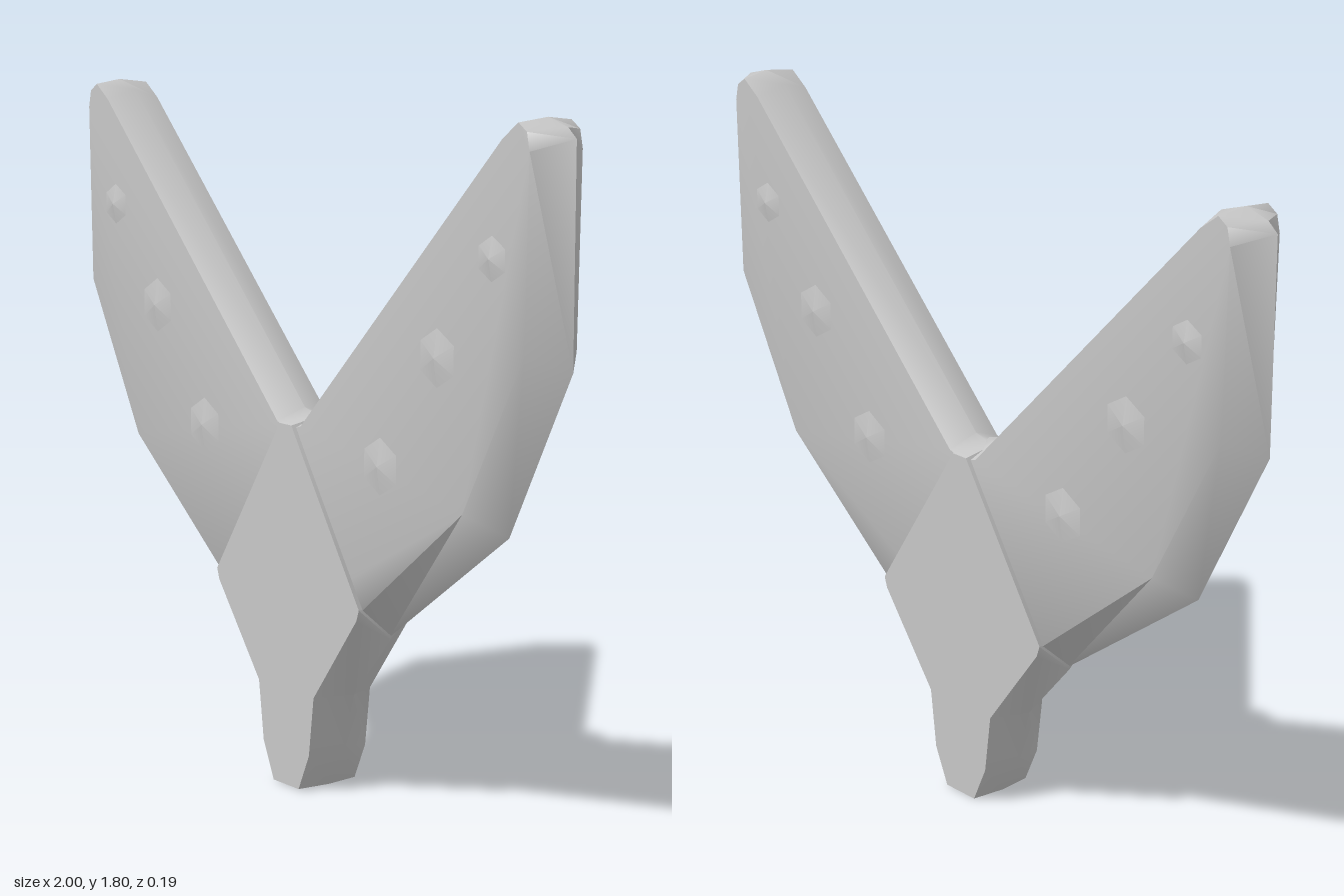
import * as THREE from 'three';
import { toCreasedNormals } from 'three/addons/utils/BufferGeometryUtils.js';

// Plate with a flat front and back, chamfered to a ridge at z = 0.
// Each entry is [rimX, rimY, faceX, faceY], anticlockwise seen from +z.
function chamferedPlate(points, half) {
  const n = points.length;
  const pos = [];
  for (const p of points) pos.push(p[2], p[3], half);
  for (const p of points) pos.push(p[0], p[1], 0);
  for (const p of points) pos.push(p[2], p[3], -half);
  const index = [];
  const contour = points.map(p => new THREE.Vector2(p[2], p[3]));
  for (const [a, b, c] of THREE.ShapeUtils.triangulateShape(contour, [])) {
    index.push(a, b, c, c + 2 * n, b + 2 * n, a + 2 * n);
  }
  for (let ring = 0; ring < 2; ring++) {
    for (let i = 0; i < n; i++) {
      const j = (i + 1) % n;
      const a = ring * n + i, b = ring * n + j;
      index.push(a, a + n, b, b, a + n, b + n);
    }
  }
  const g = new THREE.BufferGeometry();
  g.setAttribute('position', new THREE.Float32BufferAttribute(pos, 3));
  g.setIndex(index);
  return toCreasedNormals(g, 0.85);
}

const mirror = points => points.map(([a, b, c, d]) => [-a, b, -c, d]).reverse();

export function createModel() {
  const group = new THREE.Group();
  const grey = new THREE.MeshStandardMaterial({ color: 0xc8c8c8 });
  grey.name = 'light grey';

  function add(name, geometry) {
    const mesh = new THREE.Mesh(geometry, grey);
    mesh.name = name;
    group.add(mesh);
    return mesh;
  }

  // Swept wings
  const wing = [
    [0, 0.36, 0, 0.46],
    [0.32, 0.45, 0.30, 0.52],
    [0.78, 0.785, 0.70, 0.84],
    [1.0, 1.215, 0.92, 1.25],
    [1.0, 1.76, 0.93, 1.73],
    [0.97, 1.785, 0.92, 1.775],
    [0.90, 1.805, 0.89, 1.795],
    [0.82, 1.78, 0.835, 1.755],
    [0.04, 0.995, 0.05, 0.965],
    [0, 0.985, 0, 0.95],
  ];
  add('leftWing', chamferedPlate(wing, 0.082));
  add('rightWing', chamferedPlate(mirror(wing), 0.082));

  // Raised diamond hub running down into the stem
  const half = [
    [0.065, 0, 0.055, 0],
    [0.135, 0.12, 0.10, 0.10],
    [0.17, 0.265, 0.12, 0.26],
    [0.325, 0.445, 0.30, 0.50],
    [0.32, 0.53, 0.31, 0.53],
    [0.035, 0.985, 0.025, 0.965],
  ];
  add('hubAndStem', chamferedPlate([...half, ...mirror(half)], 0.093));

  // Low dents and lumps on both faces of the wings
  const lumps = [[0.38, 0.91, 0.08], [0.6, 1.21, 0.08], [0.8, 1.47, 0.06]];
  for (const side of [-1, 1]) {
    for (const face of [-1, 1]) {
      for (const [x, y, r] of lumps) {
        const lump = add('surfaceLump', new THREE.ConeGeometry(r, 0.012, 6, 1, true));
        lump.rotation.x = face * Math.PI / 2;
        lump.position.set(side * x, y, face * 0.087);
      }
    }
  }
  return group;
}
